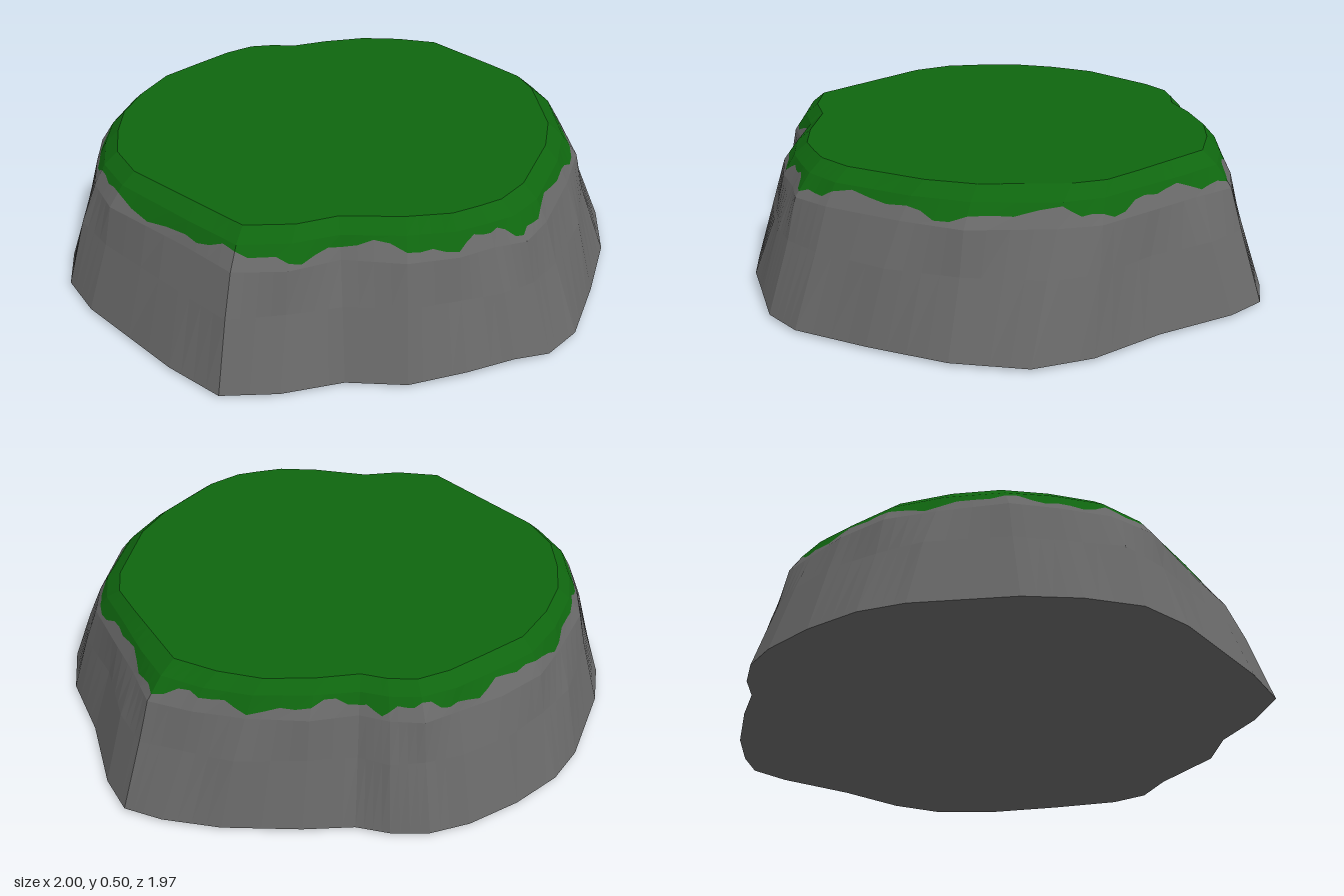
import * as THREE from 'three';

// Matching plan outlines [x, z], going back -> +x -> front -> -x
const foot = [[-.22, -.99], [-.03, -.99], [.16, -.96], [.29, -.91], [.39, -.83], [.46, -.74], [.6, -.64], [.8, -.47],
  [.93, -.32], [1, -.2], [.98, -.05], [.88, .22], [.82, .48], [.72, .66], [.51, .8], [.25, .9], [0, .98], [-.15, .97],
  [-.27, .91], [-.42, .83], [-.57, .71], [-.69, .55], [-.86, .43], [-.99, .29], [-1, .07], [-.97, -.37], [-.92, -.55],
  [-.8, -.69], [-.66, -.8], [-.37, -.95]];
const rim = [[-.2, -.79], [-.03, -.78], [.11, -.77], [.22, -.74], [.29, -.68], [.34, -.61], [.46, -.54], [.59, -.44],
  [.68, -.32], [.75, -.18], [.73, -.02], [.71, .14], [.69, .27], [.63, .37], [.42, .57], [.27, .65], [0, .73], [-.13, .73],
  [-.21, .7], [-.3, .66], [-.41, .56], [-.54, .4], [-.66, .33], [-.77, .21], [-.77, 0], [-.77, -.3], [-.72, -.45],
  [-.62, -.57], [-.51, -.67], [-.37, -.74]];
const N = foot.length, SUB = 4;

// Height and inward blend of each ring, foot to rim
const rings = [[.01, 0], [.25, .37], [.39, .58], [.46, .78], [.5, 1]];

// Outline corner on a ring, with slight rocky unevenness on the middle ones
function corner(i, r) {
  i %= N;
  let [y, t] = rings[r];
  if (r === 1 || r === 2) t += .045 * Math.sin(i * 2.3 + r * 1.7);
  if (r === 0 && (i === 18 || i === 19)) y = .03; // lifted notch in the front edge
  return new THREE.Vector3(
    THREE.MathUtils.lerp(foot[i][0], rim[i][0], t), y,
    THREE.MathUtils.lerp(foot[i][1], rim[i][1], t));
}

// Ring subdivided along each outline segment
function makeRing(r) {
  const points = [];
  for (let i = 0; i < N; i++) {
    for (let k = 0; k < SUB; k++) points.push(corner(i, r).lerp(corner(i + 1, r), k / SUB));
  }
  return points;
}

function buildMesh(name, triangles, material) {
  const geometry = new THREE.BufferGeometry().setFromPoints(triangles);
  geometry.computeVertexNormals();
  const mesh = new THREE.Mesh(geometry, material);
  mesh.name = name;
  return mesh;
}

// Stack of outward-facing bands between rings
function bands(list) {
  const out = [];
  for (let r = 0; r < list.length - 1; r++) {
    const lo = list[r], hi = list[r + 1];
    lo.forEach((a, i) => {
      const j = (i + 1) % lo.length;
      out.push(lo[j], a, hi[i], lo[j], hi[i], hi[j]);
    });
  }
  return out;
}

// Flat fan closing a ring
function cap(ring, y, up) {
  const centre = new THREE.Vector3(0, y, 0);
  return ring.flatMap((p, i) => {
    const q = ring[(i + 1) % ring.length];
    return up ? [centre, q, p] : [centre, p, q];
  });
}

export function createModel() {
  const rock = new THREE.MeshStandardMaterial({ color: 0x686868, flatShading: true });
  rock.name = 'grey rock';
  const grass = new THREE.MeshStandardMaterial({ color: 0x0f660f, flatShading: true });
  grass.name = 'green grass';

  const [base, middle, shoulder, bevel, top] = rings.map((_, r) => makeRing(r));
  // Ragged line where the turf hangs over the rock
  const ragged = shoulder.map((p, i) => {
    const f = .5 + .22 * Math.sin(i * .63) + .14 * Math.sin(i * 1.7 + 1);
    return p.clone().lerp(bevel[i], f);
  });

  const group = new THREE.Group();
  group.name = 'grassyRock';
  group.add(
    buildMesh('rockSides', bands([base, middle, shoulder, ragged]), rock),
    buildMesh('rockUnderside', cap(base, 0, false), rock),
    buildMesh('grassEdge', bands([ragged, bevel, top]), grass),
    buildMesh('grassTop', cap(top, .5, true), grass));
  return group;
}
